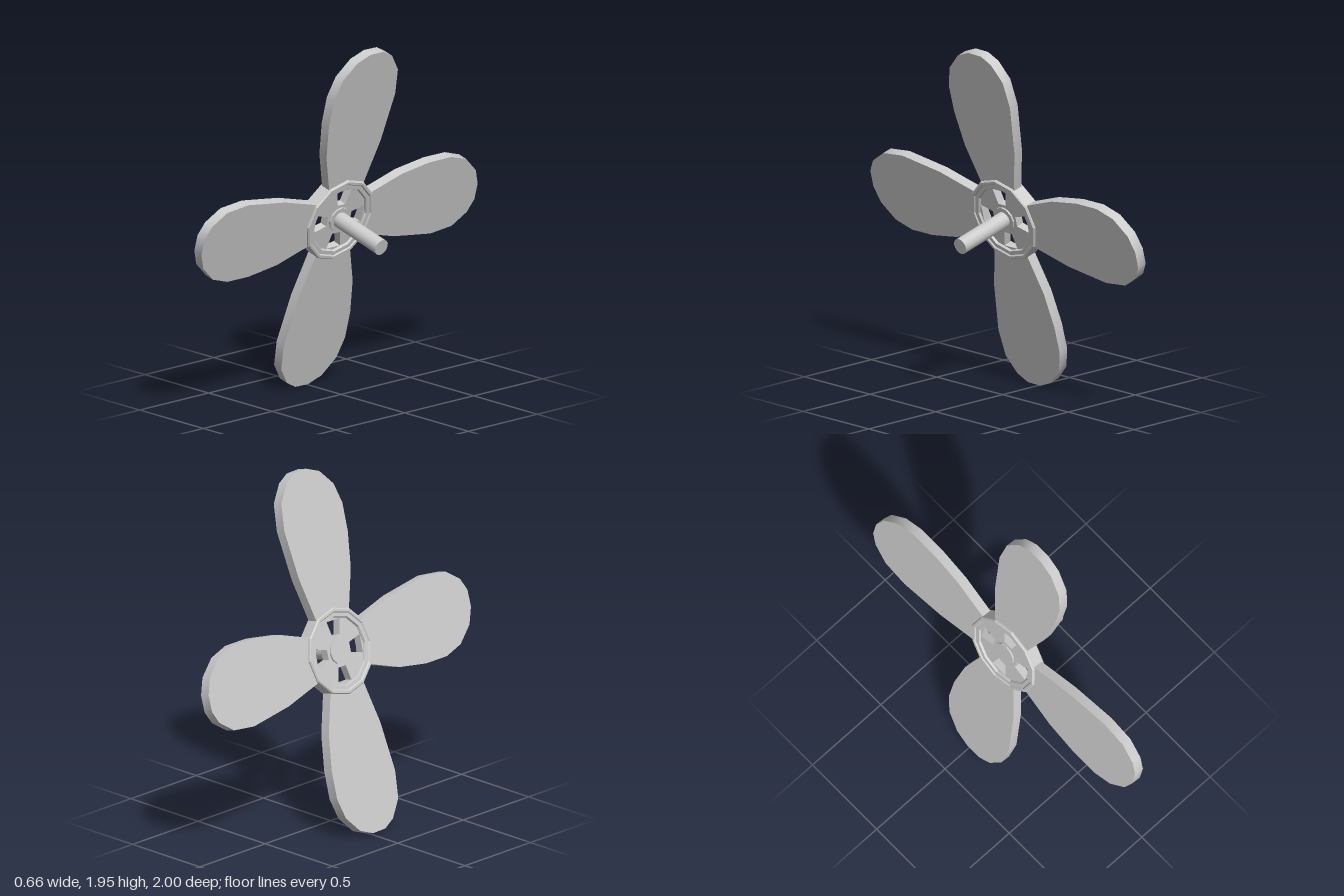
import * as THREE from 'three';
import { toCreasedNormals } from 'three/addons/utils/BufferGeometryUtils.js';

const smooth = new THREE.MeshStandardMaterial({ color: 0xcccccc });
const faceted = new THREE.MeshStandardMaterial({ color: 0xcccccc, flatShading: true });
const v2 = (p) => new THREE.Vector2(p[0], p[1]);

function add(parent, name, geometry, material) {
  const mesh = new THREE.Mesh(geometry, material);
  mesh.name = name;
  parent.add(mesh);
  return mesh;
}

// Slab of the given thickness, centred on z = 0
function slab(shape, depth, curveSegments = 12) {
  return new THREE.ExtrudeGeometry(shape, { depth, bevelEnabled: false, curveSegments })
    .translate(0, 0, -depth / 2);
}

export function createModel() {
  const model = new THREE.Group();
  model.name = 'propeller';

  // Built facing +z, then turned to face +x and tipped downward
  const rotor = new THREE.Group();
  rotor.name = 'rotor';
  rotor.rotation.set(0, Math.PI / 2, -THREE.MathUtils.degToRad(15), 'ZYX');
  rotor.position.set(-0.04, 0.974, 0);
  model.add(rotor);

  // Four flat blades with an asymmetric paddle outline
  const outline = [
    [0.125, 0.19], [0.193, 0.44], [0.233, 0.715], [0.217, 0.865], [0.152, 0.96],
    [0.083, 0.998], [-0.01, 1.0], [-0.1, 0.965], [-0.185, 0.875], [-0.222, 0.76],
    [-0.222, 0.605], [-0.193, 0.41], [-0.12, 0.19],
  ];
  const bladeGeometry = toCreasedNormals(slab(new THREE.Shape(outline.map(v2)), 0.058), 0.55);
  for (let i = 0; i < 4; i++) {
    add(rotor, 'blade', bladeGeometry, smooth).rotation.z = (i * Math.PI) / 2;
  }

  // Hub rim: twelve-sided ring with stepped, bevelled faces
  const rim = [
    [0.185, -0.026], [0.19, -0.036], [0.212, -0.036], [0.218, -0.043], [0.232, -0.043],
    [0.238, -0.036], [0.238, 0.036], [0.232, 0.043], [0.218, 0.043], [0.212, 0.036],
    [0.19, 0.036], [0.185, 0.026], [0.185, -0.026],
  ];
  add(rotor, 'hubRim', new THREE.LatheGeometry(rim.map(v2), 12).rotateX(Math.PI / 2), faceted);

  // Hub web with four tapered windows
  const web = new THREE.Shape();
  web.absarc(0, 0, 0.2, 0, Math.PI * 2);
  for (let i = 0; i < 4; i++) {
    const corners = [[-0.028, 0.085], [0.028, 0.085], [0.05, 0.17], [-0.05, 0.17]];
    const hole = corners.map((p) => v2(p).rotateAround(new THREE.Vector2(), (i * Math.PI) / 2));
    web.holes.push(new THREE.Path(hole));
  }
  add(rotor, 'hubWeb', slab(web, 0.046, 6), faceted);

  // Central boss and drive shaft
  add(rotor, 'hubBoss', new THREE.CylinderGeometry(0.07, 0.07, 0.066, 12).rotateX(Math.PI / 2), faceted);
  add(rotor, 'shaft',
    new THREE.CylinderGeometry(0.045, 0.045, 0.37, 16).rotateX(Math.PI / 2).translate(0, 0, 0.185), smooth);

  return model;
}
